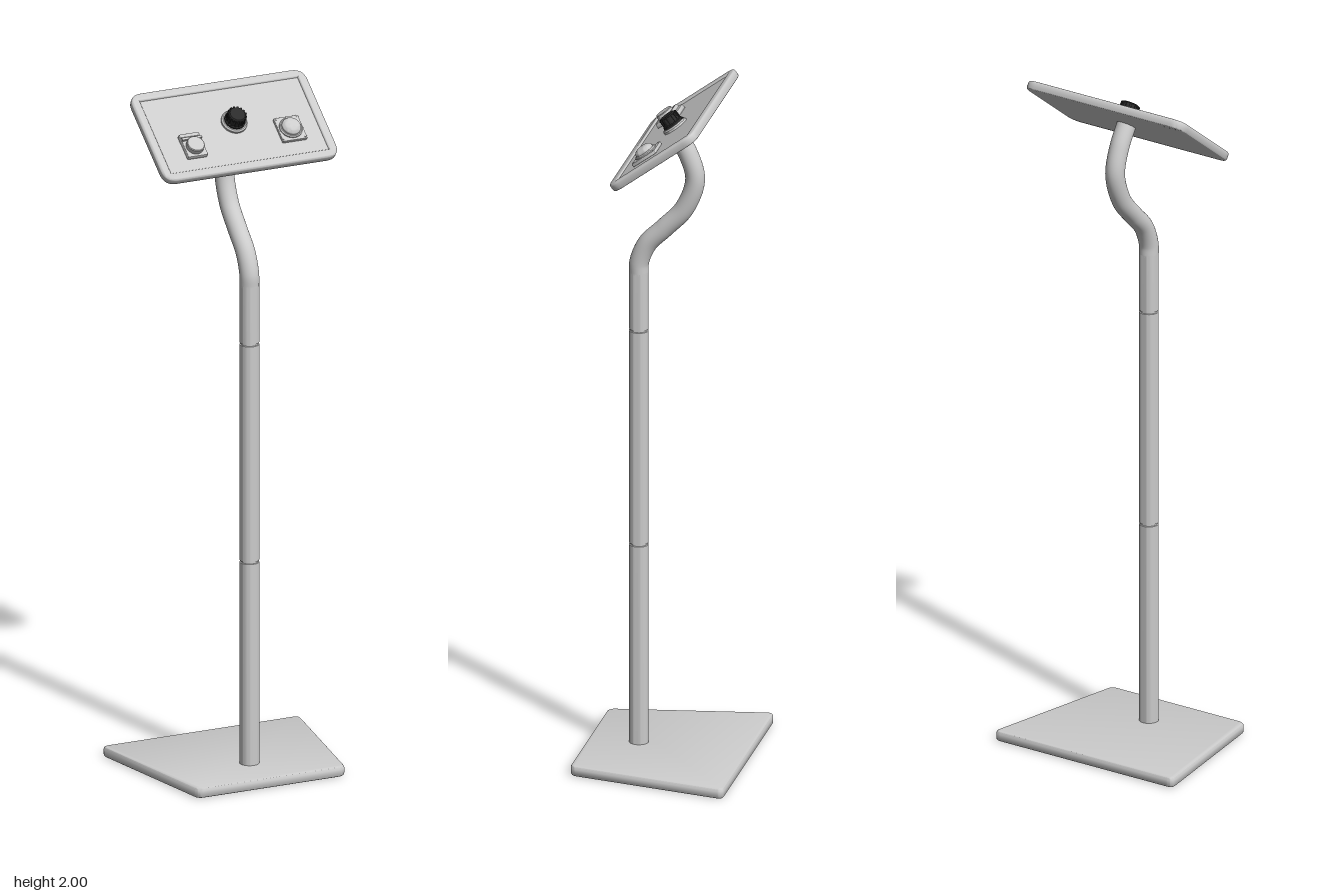
import * as THREE from 'three';
import { toCreasedNormals } from 'three/addons/utils/BufferGeometryUtils.js';

const grey = new THREE.MeshStandardMaterial({ color: 0xcccccc });
const dark = new THREE.MeshStandardMaterial({ color: 0x2b2b2b });

function add(parent, name, geometry, x = 0, y = 0, z = 0, material = grey) {
  const mesh = new THREE.Mesh(geometry, material);
  mesh.name = name;
  mesh.position.set(x, y, z);
  parent.add(mesh);
  return mesh;
}

// Closed outline with rounded corners; corners are [x, y] counter-clockwise
function roundedOutline(corners, r) {
  const shape = new THREE.Shape();
  const pts = corners.map(([x, y]) => new THREE.Vector2(x, y));
  pts.forEach((p, i) => {
    const prev = pts[(i + pts.length - 1) % pts.length];
    const next = pts[(i + 1) % pts.length];
    const a = p.clone().add(prev.clone().sub(p).setLength(r));
    const b = p.clone().add(next.clone().sub(p).setLength(r));
    if (i === 0) shape.moveTo(a.x, a.y);
    else shape.lineTo(a.x, a.y);
    shape.quadraticCurveTo(p.x, p.y, b.x, b.y);
  });
  shape.closePath();
  return shape;
}

const rect = (w, d) => [[-w / 2, -d / 2], [w / 2, -d / 2], [w / 2, d / 2], [-w / 2, d / 2]];

// Slab lying flat, bottom at y = 0, with rounded edges kept inside the outline
function slab(shape, height, bevel) {
  const g = new THREE.ExtrudeGeometry(shape, {
    depth: height - 2 * bevel, bevelEnabled: true, bevelThickness: bevel,
    bevelSize: bevel, bevelOffset: -bevel, bevelSegments: 4, curveSegments: 8,
  });
  g.translate(0, 0, bevel);
  g.rotateX(-Math.PI / 2);
  return toCreasedNormals(g, 0.7);
}

// Turned part from [radius, height] pairs
function turned(profile, segments = 40) {
  const g = new THREE.LatheGeometry(profile.map(([r, y]) => new THREE.Vector2(r, y)), segments);
  return toCreasedNormals(g, 0.6);
}

export function createModel() {
  const model = new THREE.Group();
  model.name = 'controlStand';

  // Floor plate, wider at the back
  const plan = [[-0.233, -0.233], [0.233, -0.233], [0.312, 0.233], [-0.312, 0.233]];
  add(model, 'basePlate', slab(roundedOutline(plan, 0.022), 0.031, 0.008));

  // Straight post with two fine joint grooves
  const R = 0.028, poleZ = 0.087;
  const profile = [[R, 0.02]];
  for (const y of [0.635, 1.285]) {
    profile.push([R, y - 0.003], [R - 0.003, y - 0.002], [R - 0.003, y + 0.002], [R, y + 0.003]);
  }
  profile.push([R, 1.46]);
  add(model, 'post', turned(profile), 0, 0, poleZ);

  // S-shaped neck
  const path = new THREE.CatmullRomCurve3([
    [1.455, poleZ], [1.49, 0.086], [1.548, 0.062], [1.60, 0.012], [1.665, -0.046],
    [1.755, -0.077], [1.83, -0.057], [1.897, -0.017],
  ].map(([y, z]) => new THREE.Vector3(0, y, z)));
  add(model, 'neck', new THREE.TubeGeometry(path, 60, R, 32));

  // Tilted control panel: local y is the panel normal, local z runs down its face
  const panel = new THREE.Group();
  panel.name = 'controlPanel';
  panel.position.set(0, 1.8985, -0.016);
  panel.rotation.x = THREE.MathUtils.degToRad(37);
  model.add(panel);

  const T = 0.026, W = 0.55, L = 0.308, rim = 0.027, bevel = 0.007;
  const frame = roundedOutline(rect(W, L), 0.04);
  frame.holes.push(new THREE.Path(
    rect(W - 2 * rim, L - 2 * rim).reverse().map(([x, y]) => new THREE.Vector2(x, y))));
  add(panel, 'panelFrame', slab(frame, T, bevel), 0, -T / 2, 0);
  const faceT = 0.020;
  add(panel, 'panelFace',
    new THREE.BoxGeometry(W - 2 * rim + 2 * bevel, faceT, L - 2 * rim + 2 * bevel),
    0, -T / 2 + faceT / 2, 0);

  // Everything on the face is placed from its surface
  const face = new THREE.Group();
  face.name = 'controls';
  face.position.y = -T / 2 + faceT;
  panel.add(face);

  // Rotary knob on a collar, with grip ridges and a pointer tick
  const knob = new THREE.Group();
  knob.name = 'knob';
  knob.position.set(0.003, 0, -0.011);
  face.add(knob);
  add(knob, 'knobCollar', turned([[0.038, 0], [0.038, 0.006], [0.034, 0.010], [0, 0.010]]));
  add(knob, 'knobBody', turned([[0.031, 0.009], [0.031, 0.015], [0.027, 0.018],
    [0.025, 0.039], [0.022, 0.042], [0, 0.042]]), 0, 0, 0, dark);
  for (let i = 0; i < 16; i++) {
    const a = (i / 16) * Math.PI * 2;
    const ridge = add(knob, 'knobRidge', new THREE.BoxGeometry(0.005, 0.022, 0.004),
      Math.sin(a) * 0.0265, 0.028, Math.cos(a) * 0.0265, dark);
    ridge.rotation.y = a;
  }
  add(knob, 'knobPointer', new THREE.BoxGeometry(0.004, 0.003, 0.012), 0, 0.0105, -0.03, dark);

  // Push button with a flat cap and a raised sloping bar behind it
  const flat = new THREE.Group();
  flat.name = 'flatButton';
  flat.position.set(-0.151, 0, 0.05);
  face.add(flat);
  add(flat, 'flatButtonBase', slab(roundedOutline(rect(0.062, 0.08), 0.004), 0.014, 0.002));
  add(flat, 'flatButtonCap', turned([[0.026, 0.012], [0.026, 0.028], [0.024, 0.030], [0, 0.030]]),
    0, 0, 0.008);
  const wedge = new THREE.Shape([[-0.04, 0], [-0.015, 0], [-0.015, 0.022], [-0.022, 0.022]]
    .map(([z, y]) => new THREE.Vector2(-z, y)));
  const wedgeGeometry = new THREE.ExtrudeGeometry(wedge, { depth: 0.062, bevelEnabled: false });
  wedgeGeometry.translate(0, 0, -0.031);
  wedgeGeometry.rotateY(Math.PI / 2);
  add(flat, 'flatButtonBar', wedgeGeometry);

  // Push button with a domed cap on a square bezel
  const dome = new THREE.Group();
  dome.name = 'domeButton';
  dome.position.set(0.158, 0, 0.043);
  face.add(dome);
  add(dome, 'domeButtonBase', slab(roundedOutline(rect(0.077, 0.082), 0.004), 0.010, 0.002));
  add(dome, 'domeButtonCollar', turned([[0.034, 0.009], [0.034, 0.013], [0.031, 0.016], [0, 0.016]]));
  const cap = [[0.028, 0.014]];
  for (let i = 0; i <= 8; i++) {
    const a = (i / 8) * Math.PI / 2;
    cap.push([0.028 * Math.cos(a), 0.020 + 0.013 * Math.sin(a)]);
  }
  add(dome, 'domeButtonCap', turned(cap));
  for (const x of [-1, 1]) {
    for (const z of [-1, 1]) {
      add(dome, 'bezelScrew', new THREE.CylinderGeometry(0.0025, 0.0025, 0.002, 12),
        x * 0.033, 0.0105, z * 0.035);
    }
  }

  return model;
}
